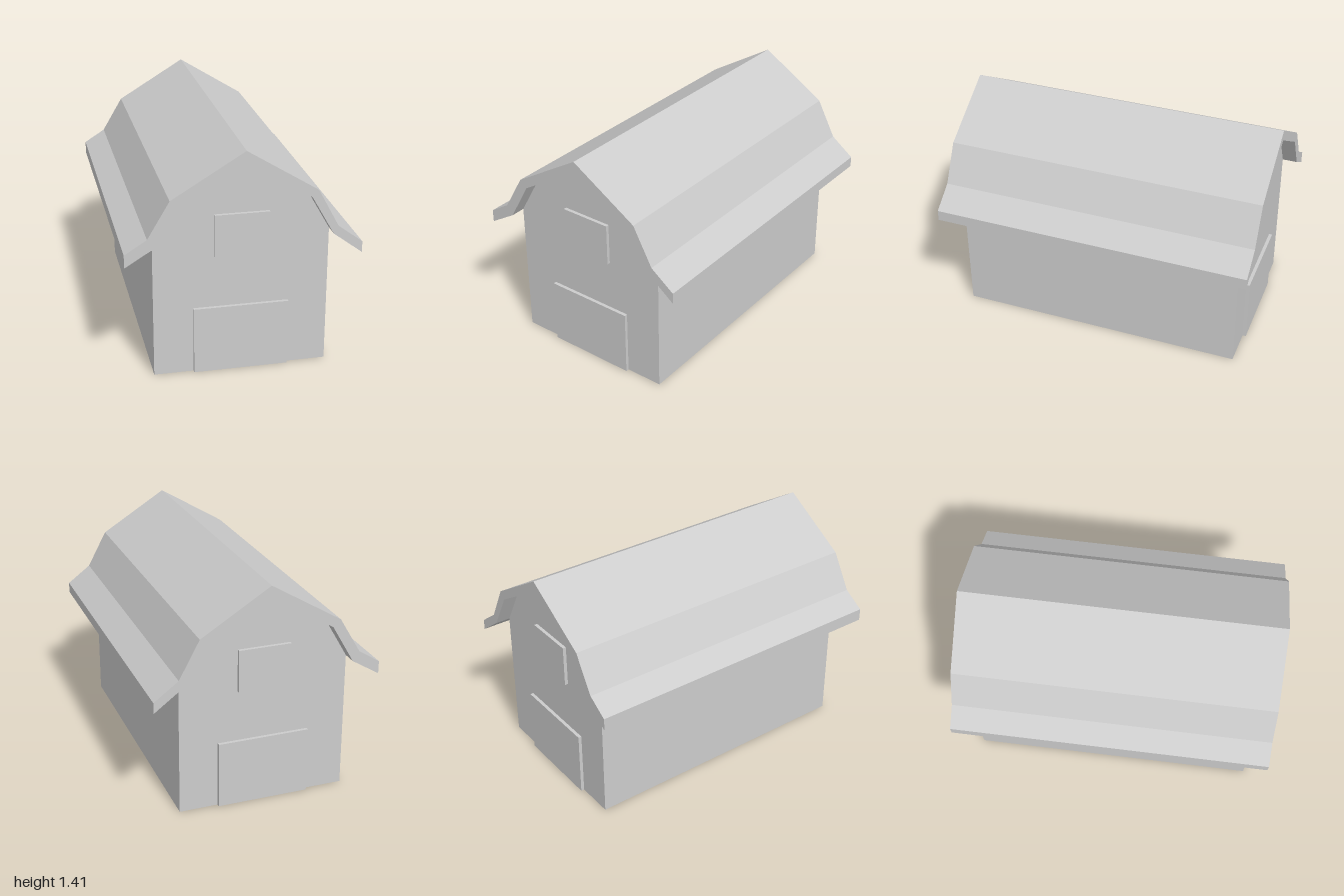
import * as THREE from 'three';

export function createModel() {
  const barn = new THREE.Group();
  barn.name = 'barn';
  const grey = new THREE.MeshStandardMaterial({ color: 0xcccccc });
  grey.name = 'plain grey';

  // Extrudes a front outline along z, between z = back and z = front
  const addPrism = (name, outline, back, front) => {
    const shape = new THREE.Shape(outline.map(([x, y]) => new THREE.Vector2(x, y)));
    const geometry = new THREE.ExtrudeGeometry(shape, { depth: front - back, bevelEnabled: false });
    geometry.translate(0, 0, back);
    const mesh = new THREE.Mesh(geometry, grey);
    mesh.name = name;
    barn.add(mesh);
  };
  const rectangle = (x0, x1, y0, y1) => [[x0, y0], [x1, y0], [x1, y1], [x0, y1]];

  // Underside of the gambrel roof, shared with the gable walls (right to left)
  const gable = [[0.523, 0.863], [0.388, 1.1], [0, 1.338], [-0.39, 1.1], [-0.527, 0.863]];

  // Walls
  addPrism('walls', [[-0.527, 0], [0.523, 0], ...gable], -0.907, 0.907);

  // Roof shell with slightly uneven flared eaves
  addPrism('roof', [
    [-0.7, 0.836], [-0.567, 0.92], [-0.436, 1.142], [0, 1.406],
    [0.425, 1.142], [0.55, 0.91], [0.7, 0.798], [0.7, 0.73],
    ...gable, [-0.7, 0.757],
  ], -1, 1);

  // Door and loft hatch on both ends
  for (const [end, back, front] of [['front', 0.9, 0.928], ['back', -0.928, -0.9]]) {
    addPrism(end + 'Door', rectangle(-0.288, 0.283, 0, 0.418), back, front);
    addPrism(end + 'LoftHatch', rectangle(-0.165, 0.162, 0.74, 1.003), back, front);
  }
  return barn;
}
